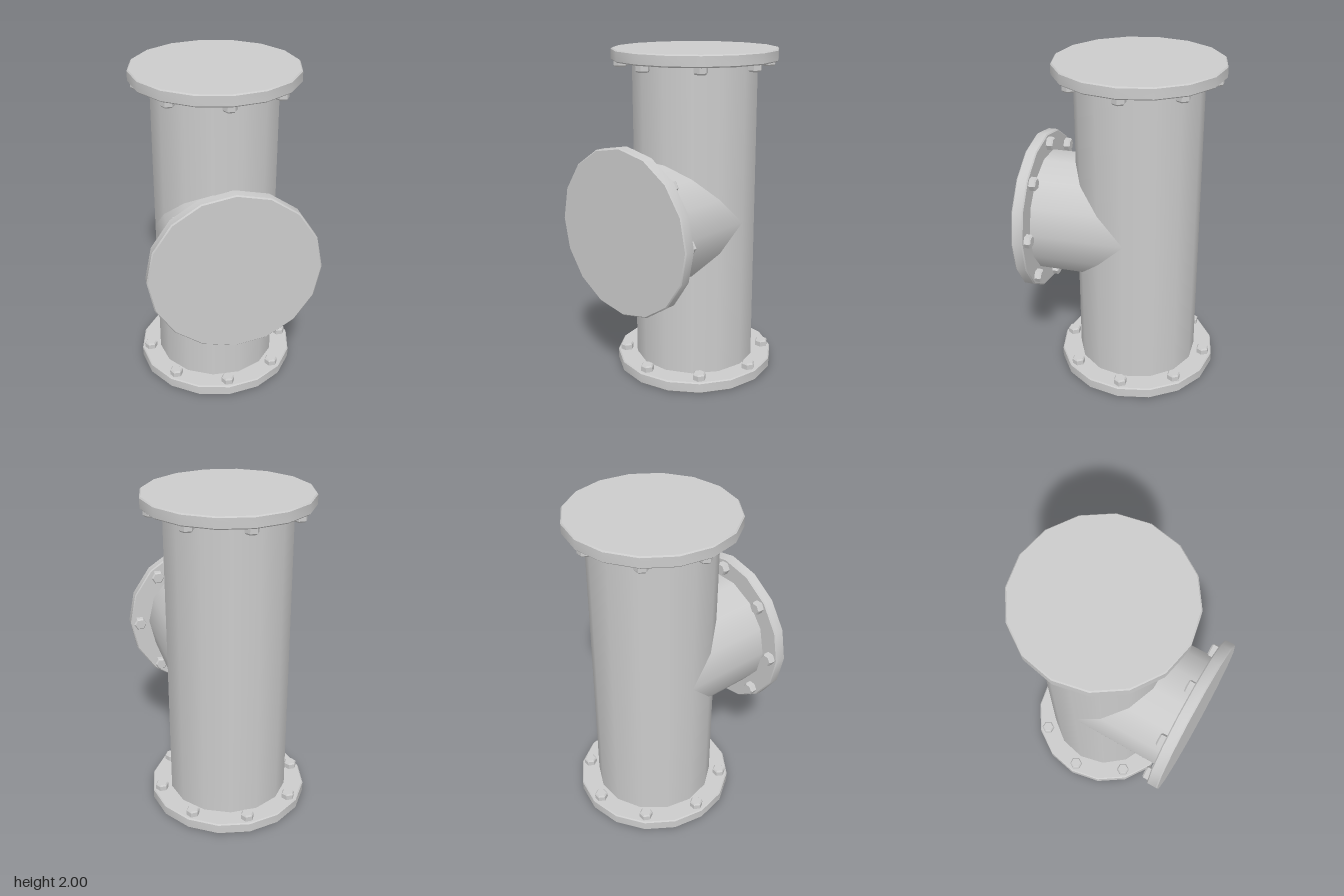
import * as THREE from 'three';
import { toCreasedNormals } from 'three/addons/utils/BufferGeometryUtils.js';

const PIPE_R = 0.375, AXIS_Z = -0.07, SIDES = 14;
const FLANGE_R = 0.497, FLANGE_T = 0.07, BOLT_CIRCLE = 0.44;

const material = new THREE.MeshStandardMaterial({ color: 0xcccccc });
const openMaterial = new THREE.MeshStandardMaterial({ color: 0xcccccc, side: THREE.DoubleSide });

// Turned profile with crisp bevels
function turned(points, sides, start, crease) {
  const profile = points.map(([r, y]) => new THREE.Vector2(r, y));
  return toCreasedNormals(new THREE.LatheGeometry(profile, sides, start), crease);
}

function addMesh(parent, name, geometry, mat = material) {
  const mesh = new THREE.Mesh(geometry, mat);
  mesh.name = name;
  parent.add(mesh);
  return mesh;
}

// Blind flange: inner face at y = 0, outer face at +y, bolt heads on the inner face
function makeFlange(name) {
  const group = new THREE.Group();
  group.name = name;
  const b = 0.007;
  const disc = turned([
    [0, 0], [FLANGE_R - b, 0], [FLANGE_R, b],
    [FLANGE_R, FLANGE_T - b], [FLANGE_R - b, FLANGE_T], [0, FLANGE_T],
  ], 16, 0, 0.5);
  addMesh(group, name + 'Disc', disc);

  const head = turned([[0, -0.04], [0.033, -0.04], [0.041, -0.031], [0.041, 0]], 6, Math.PI / 2, 0.3);
  for (let i = 0; i < 8; i++) {
    const a = i * Math.PI / 4;
    addMesh(group, name + 'Bolt', head)
      .position.set(Math.sin(a) * BOLT_CIRCLE, 0, Math.cos(a) * BOLT_CIRCLE);
  }
  return group;
}

export function createModel() {
  const model = new THREE.Group();
  model.name = 'pipeTee';

  // Main vertical pipe
  const length = 2 - 2 * FLANGE_T;
  const mainPipe = new THREE.CylinderGeometry(PIPE_R, PIPE_R, length, SIDES, 1, true, Math.PI / 2);
  addMesh(model, 'mainPipe', mainPipe, openMaterial).position.set(0, 1, AXIS_Z);

  // Branch pipe, its inner end mitred to meet the main pipe
  const flangeZ = 0.497, reach = flangeZ - AXIS_Z;
  const branch = new THREE.CylinderGeometry(PIPE_R, PIPE_R, reach, SIDES, 1, true, Math.PI / 2);
  branch.translate(0, reach / 2, 0).rotateX(Math.PI / 2);
  const p = branch.attributes.position;
  for (let i = 0; i < p.count; i++) {
    if (p.getZ(i) < reach / 2) p.setZ(i, Math.abs(p.getY(i)));
  }
  addMesh(model, 'branchPipe', branch, openMaterial).position.set(0, 1, AXIS_Z);

  // Flanges on the three ends
  const ends = [
    ['topFlange', 2 - FLANGE_T, AXIS_Z, 0],
    ['bottomFlange', FLANGE_T, AXIS_Z, Math.PI],
    ['branchFlange', 1, flangeZ, Math.PI / 2],
  ];
  for (const [name, y, z, turn] of ends) {
    const flange = makeFlange(name);
    flange.position.set(0, y, z);
    flange.rotation.x = turn;
    model.add(flange);
  }
  return model;
}
